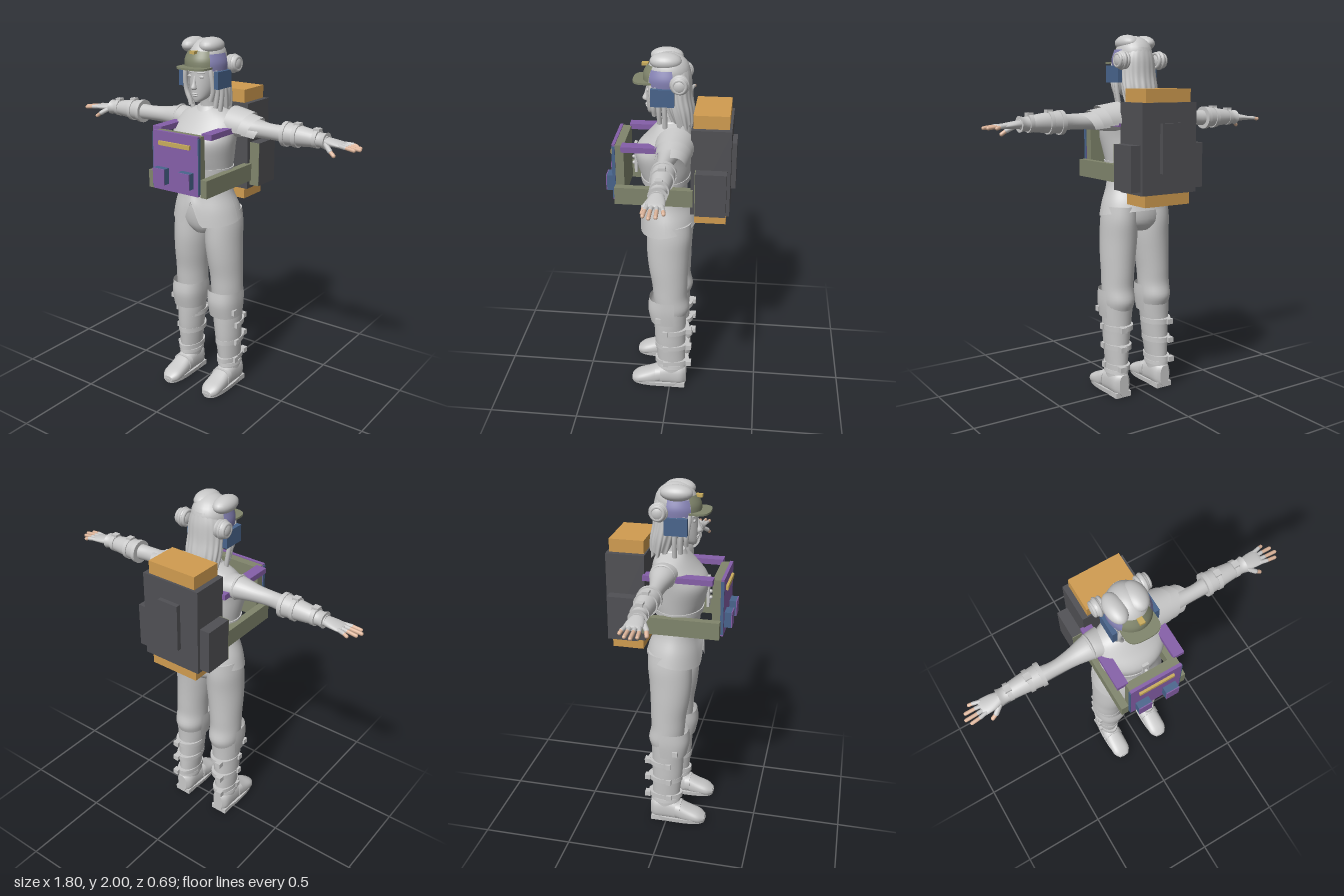
import * as THREE from 'three';

const paint = (name, color) => Object.assign(new THREE.MeshStandardMaterial({ color, side: THREE.DoubleSide }), { name });

// Cubic interpolation between neighbouring sections
const cubic = (a, b, c, d, t) => b + 0.5 * t * (c - a + t * (2 * a - 5 * b + 4 * c - d + t * (3 * (b - c) + d - a)));

// Skin over sections [position, centreA, centreB, radiusA, radiusB] along an axis
function loft(secs, { axis = 'y', n = 28, pow = 2, arc = null, sub = 4, warp = null } = {}) {
  const rows = [], last = secs.length - 1;
  for (let i = 0; i < last; i++) for (let s = 0; s < sub; s++)
    rows.push(secs[i].map((v, k) => cubic(secs[Math.max(i - 1, 0)][k], v, secs[i + 1][k], secs[Math.min(i + 2, last)][k], s / sub)));
  rows.push(secs[last]);
  const cols = arc ? n + 1 : n, [a0, a1] = arc || [0, 2 * Math.PI];
  const pos = [], idx = [];
  const flip = (axis === 'y') !== (secs[last][0] < secs[0][0]);
  const tri = (a, b, c) => flip ? idx.push(a, c, b) : idx.push(a, b, c);
  const bend = (v) => Math.sign(v) * Math.abs(v) ** (2 / pow);
  const place = (t, a, b) => axis === 'y' ? [a, t, b] : axis === 'x' ? [t, a, b] : [a, b, t];
  rows.forEach(([t, ca, cb, ra, rb], i) => {
    for (let j = 0; j < cols; j++) {
      const th = a0 + (a1 - a0) * j / n;
      const p = new THREE.Vector3(...place(t, ca + ra * bend(Math.cos(th)), cb + rb * bend(Math.sin(th))));
      if (warp) warp(p, i / (rows.length - 1), th);
      pos.push(p.x, p.y, p.z);
      if (i && j < n) {
        const a = (i - 1) * cols + j, b = (i - 1) * cols + (j + 1) % cols;
        tri(a, b, a + cols); tri(b, b + cols, a + cols);
      }
    }
  });
  if (!arc) [0, rows.length - 1].forEach((r) => {
    const start = pos.length / 3;
    pos.push(...pos.slice(r * cols * 3, (r + 1) * cols * 3), ...place(...rows[r].slice(0, 3)));
    for (let j = 0; j < n; j++) {
      const a = start + j, b = start + (j + 1) % n;
      r ? tri(start + n, a, b) : tri(start + n, b, a);
    }
  });
  const g = new THREE.BufferGeometry();
  g.setAttribute('position', new THREE.Float32BufferAttribute(pos, 3));
  g.setIndex(idx);
  g.computeVertexNormals();
  return g;
}

const box = (x0, x1, y0, y1, z0, z1) =>
  new THREE.BoxGeometry(x1 - x0, y1 - y0, z1 - z0).translate((x0 + x1) / 2, (y0 + y1) / 2, (z0 + z1) / 2);
const ball = (x, y, z, rx, ry, rz) => new THREE.SphereGeometry(1, 24, 16).scale(rx, ry, rz).translate(x, y, z);
const rod = (from, to, r) => {
  const a = new THREE.Vector3(...from), b = new THREE.Vector3(...to), d = b.clone().sub(a);
  const q = new THREE.Quaternion().setFromUnitVectors(new THREE.Vector3(0, 1, 0), d.clone().normalize());
  return new THREE.CapsuleGeometry(r, d.length(), 4, 10).applyQuaternion(q).translate(...a.add(b).multiplyScalar(0.5).toArray());
};
const tube = (pts, r) => new THREE.TubeGeometry(new THREE.CatmullRomCurve3(pts.map((p) => new THREE.Vector3(...p))), 20, r, 8);
const mirrored = (geo) => {
  const g = geo.clone().scale(-1, 1, 1), ix = g.index.array;
  for (let i = 0; i < ix.length; i += 3) [ix[i], ix[i + 1]] = [ix[i + 1], ix[i]];
  return g;
};

export function createModel() {
  const model = new THREE.Group();
  model.name = 'equippedFigure';
  const grey = paint('figureGrey', 0xc8c8c8), dark = paint('packGrey', 0x505054), orange = paint('rollOrange', 0xd09c50);
  const purple = paint('vestPurple', 0x855fa8), olive = paint('strapOlive', 0x80856c), blue = paint('gearBlue', 0x48648c);
  const gold = paint('badgeGold', 0xc9ac5c), skin = paint('fingertipTan', 0xdcb49a), lilac = paint('capLilac', 0x8582b4);
  const add = (name, mat, geo) => {
    const m = new THREE.Mesh(geo, mat);
    m.name = name;
    model.add(m);
  };
  const pair = (name, mat, geo) => {
    add(name + 'Left', mat, geo);
    add(name + 'Right', mat, mirrored(geo));
  };

  // Torso, belt, collar and jacket skirt with a notched hem
  add('torso', grey, loft([[1.17, 0, .03, .155, .115], [1.25, 0, .035, .15, .115], [1.31, 0, .035, .155, .125],
    [1.37, 0, .04, .165, .14], [1.45, 0, .05, .18, .148], [1.5, 0, .04, .185, .142], [1.55, 0, .015, .185, .12],
    [1.6, 0, 0, .15, .09], [1.635, 0, 0, .06, .06]], { n: 36 }));
  add('waistBelt', grey, loft([[1.295, 0, .036, .161, .131], [1.325, 0, .037, .164, .134]], { sub: 1 }));
  add('collar', grey, loft([[1.59, 0, .005, .1, .085], [1.62, 0, .005, .075, .07], [1.64, 0, .005, .06, .06]], {}));
  add('jacketPlacket', grey, box(-.018, .018, 1.33, 1.5, .188, .203));
  for (const y of [1.38, 1.415, 1.45]) add('jacketButton', grey, ball(0, y, .208, .01, .01, .01));
  add('jacketSkirt', grey, loft([[1.22, 0, .032, .152, .115], [1.17, 0, .028, .163, .123], [1.1, 0, .022, .188, .145], [1.03, 0, .018, .205, .158]], {
    n: 72, arc: [0, 2 * Math.PI],
    warp: (p, u, th) => {
      const f = Math.sin(th);
      p.y -= u * u * .03 * f;
      if (f > 0) p.y += u * u * .14 * Math.max(0, 1 - Math.abs(p.x) / .06);
    },
  }));
  add('hips', grey, loft([[1.2, 0, .03, .14, .1], [1.08, 0, .015, .172, .125], [.99, 0, .008, .165, .12], [.94, 0, .01, .07, .09]]));

  // Legs, boots and straps
  pair('trouserLeg', grey, loft([[1.08, .1, .005, .09, .118], [1, .106, .007, .096, .122], [.9, .107, .012, .099, .118],
    [.8, .113, .01, .096, .11], [.7, .119, .003, .09, .1], [.62, .122, 0, .088, .096], [.55, .122, -.01, .088, .1], [.5, .123, -.005, .08, .09]]));
  pair('boot', grey, loft([[.56, .124, -.003, .086, .096], [.46, .127, 0, .082, .092], [.38, .13, 0, .075, .09],
    [.3, .133, -.002, .069, .087], [.16, .138, -.01, .055, .08], [.1, .14, -.012, .053, .08]]));
  pair('kneeGuard', grey, loft([[.61, .123, .01, .093, .108], [.54, .124, .01, .094, .116], [.455, .126, .01, .086, .1]],
    { arc: [-.3, Math.PI + .3], pow: 2.4 }));
  pair('bootCuff', grey, loft([[.155, .138, -.01, .06, .085], [.135, .139, -.01, .062, .087]], { sub: 1 }));
  pair('footUpper', grey, loft([[-.095, .14, .07, .03, .06], [-.065, .14, .075, .053, .068], [0, .14, .078, .055, .07], [.06, .14, .068, .055, .06],
    [.13, .14, .05, .057, .044], [.19, .14, .038, .054, .032], [.225, .14, .028, .03, .018]], { axis: 'z', pow: 2.5 }));
  pair('sole', grey, loft([[.005, .14, .068, .057, .158], [.03, .14, .068, .06, .162]], { sub: 1, pow: 2.6 }));
  pair('heel', grey, box(.09, .19, 0, .03, -.09, -.01));
  pair('instepStrap', grey, loft([[.055, .14, .073, .06, .05], [.085, .14, .068, .06, .053]], { axis: 'z', sub: 1, pow: 2.5 }));
  for (const [y, rx, x] of [[.4, .081, .129], [.29, .072, .133], [.175, .061, .137]]) {
    pair('bootStrap', grey, loft([[y - .014, x, -.012, rx, .1], [y + .014, x, -.012, rx, .1]], { sub: 1 }));
    pair('sideBuckle', grey, box(x + rx - .012, x + rx + .008, y - .016, y + .016, .005, .035));
    pair('backBuckle', grey, box(x + .01, x + .045, y - .015, y + .015, -.127, -.095));
  }
  pair('kneeBuckle', grey, box(.205, .222, .48, .51, .045, .075));

  // Arms, bracers and hands
  pair('arm', grey, loft([[.13, 1.545, -.01, .06, .08], [.2, 1.55, -.01, .06, .068], [.3, 1.547, -.005, .045, .047],
    [.4, 1.545, 0, .041, .037], [.5, 1.543, -.005, .042, .042], [.71, 1.54, -.005, .027, .034]], { axis: 'x' }));
  pair('bracer', grey, loft([[.465, 1.545, -.008, .06, .06], [.54, 1.545, -.008, .054, .054], [.62, 1.543, -.008, .045, .046],
    [.675, 1.541, -.006, .036, .04], [.705, 1.541, -.006, .042, .046]], { axis: 'x' }));
  for (const [x, r] of [[.475, .064], [.54, .06], [.65, .047]]) {
    pair('bracerStrap', grey, loft([[x - .011, 1.544, -.008, r, r], [x + .011, 1.544, -.008, r, r]], { axis: 'x', sub: 1 }));
    if (x > .5) pair('bracerBuckle', grey, box(x - .017, x + .017, 1.544 + r - .01, 1.544 + r + .007, -.025, .01));
  }
  pair('palm', grey, loft([[.69, 1.54, -.005, .024, .03], [.74, 1.538, -.005, .019, .042], [.79, 1.534, -.005, .014, .045], [.805, 1.533, -.005, .008, .04]], { axis: 'x' }));
  [[-.046, .845], [-.018, .878], [.01, .89], [.035, .872]].forEach(([z, tip]) => {
    pair('finger', grey, rod([.79, 1.535, z * .8], [.825, 1.533, z], .0105));
    pair('fingertip', skin, rod([.825, 1.533, z], [tip, 1.527, z * 1.1], .0095));
  });
  pair('thumb', grey, rod([.715, 1.53, .025], [.75, 1.508, .048], .013));
  pair('thumbTip', skin, rod([.75, 1.508, .048], [.775, 1.49, .055], .0105));

  // Layered pointed shoulder guard on the left side
  [[.14, .22, .105], [.19, .27, .095], [.235, .315, .083]].forEach(([x0, x1, r], i) =>
    add('shoulderGuard' + (i + 1), grey, loft([[x0, 1.54 - i * .012, -.03, r, r], [x1, 1.535 - i * .014, -.025, r * .86, r * .9]],
      { axis: 'x', arc: [-1.6, 1.6], warp: (p, u, th) => { p.x += u * .05 * (1 - Math.abs(th) / 1.6); } })));
  add('shoulderSeam', grey, new THREE.TorusGeometry(.062, .007, 8, 28).rotateY(Math.PI / 2).translate(-.2, 1.55, -.01));

  // Head and face
  add('neck', grey, loft([[1.58, 0, -.005, .055, .055], [1.66, 0, .005, .046, .05], [1.75, 0, .015, .048, .055]]));
  add('head', grey, loft([[1.673, 0, .105, .018, .02], [1.69, 0, .085, .04, .046], [1.72, 0, .062, .058, .072], [1.76, 0, .045, .071, .09],
    [1.81, 0, .038, .078, .096], [1.86, 0, .03, .083, .102], [1.92, 0, .02, .075, .09], [1.965, 0, .01, .03, .04]]));
  add('nose', grey, loft([[1.74, 0, .135, .014, .016], [1.75, 0, .138, .015, .019], [1.775, 0, .135, .009, .011], [1.81, 0, .128, .007, .008]], { n: 14 }));
  add('upperLip', grey, ball(0, 1.717, .133, .02, .005, .008));
  add('lowerLip', grey, ball(0, 1.707, .13, .017, .006, .008));
  pair('eyelid', grey, ball(.034, 1.805, .122, .018, .008, .007));
  pair('brow', grey, rod([.018, 1.826, .13], [.05, 1.828, .115], .004));

  // Hair: crown, swept lobes, ridged back, front locks and coiled buns
  add('hairCrown', grey, ball(0, 1.895, .018, .098, .098, .11));
  add('hairSweepRight', grey, ball(-.035, 1.955, .035, .052, .042, .085).rotateZ(.02));
  add('hairSweepLeft', grey, ball(.035, 1.955, .03, .058, .044, .082));
  add('hairBack', grey, loft([[1.93, 0, -.015, .07, .07], [1.87, 0, -.02, .095, .078], [1.78, 0, -.028, .102, .075],
    [1.7, 0, -.045, .102, .072], [1.62, 0, -.062, .088, .056]], {
    n: 96, warp: (p, u, th) => {
      const k = 1 + .045 * u * Math.cos(18 * th);
      p.x *= k; p.z = -.04 + (p.z + .04) * k; p.y += .018 * u * u * Math.cos(9 * th);
    },
  }));
  for (const [x, z, low] of [[.076, .098, 1.68], [.086, .07, 1.64], [.093, .04, 1.61]])
    pair('frontLock', grey, tube([[x - .012, 1.89, z], [x + .006, 1.82, z + .004], [x + .01, 1.73, z - .008], [x - .006, low, z - .012]], .013));
  pair('bun', grey, ball(.122, 1.862, -.048, .037, .048, .046));
  for (const [x, r] of [[.1, .037], [.122, .041], [.144, .032]])
    pair('bunCoil', grey, new THREE.TorusGeometry(r, .01, 8, 24).rotateY(Math.PI / 2).translate(x, 1.862, -.048));

  // Cap, visor, badge and ear boxes
  const capRows = [[1.845, 0, .025, .112, .126], [1.89, 0, .025, .11, .124], [1.935, 0, .025, .09, .1]];
  add('capFront', olive, loft(capRows, { arc: [.75, Math.PI - .75] }));
  pair('capSide', lilac, loft([[1.835, 0, .025, .11, .124], [1.875, 0, .025, .111, .125], [1.92, 0, .025, .097, .11]], { arc: [-.3, .75] }));
  add('capVisor', olive, loft([[1.846, 0, .13, .092, .072], [1.856, 0, .13, .092, .072]], { sub: 1, pow: 3 }));
  add('capBadge', gold, box(-.014, .014, 1.922, 1.937, .122, .156));
  pair('earBox', blue, box(.1, .126, 1.745, 1.835, -.02, .1));

  // Backpack
  add('packBody', dark, box(-.172, .172, 1.17, 1.645, -.318, -.112));
  add('packBackPanel', dark, box(-.062, .062, 1.28, 1.54, -.343, -.318));
  add('packTopRoll', orange, box(-.143, .143, 1.645, 1.715, -.305, -.12));
  add('packBottomRoll', orange, box(-.143, .143, 1.105, 1.17, -.3, -.13));
  pair('packSidePocket', dark, box(.172, .23, 1.19, 1.43, -.3, -.14));
  pair('packPocketFace', olive, box(.172, .23, 1.19, 1.43, -.14, -.136));

  // Chest rig with straps, pockets and label bar
  add('rigPanel', purple, box(-.145, .145, 1.225, 1.54, .285, .302));
  add('rigBacking', olive, box(-.143, .143, 1.235, 1.535, .24, .285));
  pair('rigEdge', blue, box(.145, .149, 1.235, 1.53, .285, .302));
  add('rigBar', gold, box(-.1, .1, 1.468, 1.49, .302, .315));
  pair('rigPocket', blue, box(.043, .118, 1.265, 1.35, .302, .338));
  pair('rigPocketFace', purple, box(.043, .118, 1.265, 1.35, .338, .343));
  pair('shoulderStrap', purple, box(.13, .19, 1.517, 1.547, -.118, .248));
  pair('sideStrap', olive, box(.15, .19, 1.22, 1.315, -.125, .288));

  // Centre the depth
  model.updateMatrixWorld(true);
  const c = new THREE.Box3().setFromObject(model).getCenter(new THREE.Vector3());
  model.children.forEach((m) => { m.position.z -= c.z; });
  return model;
}
